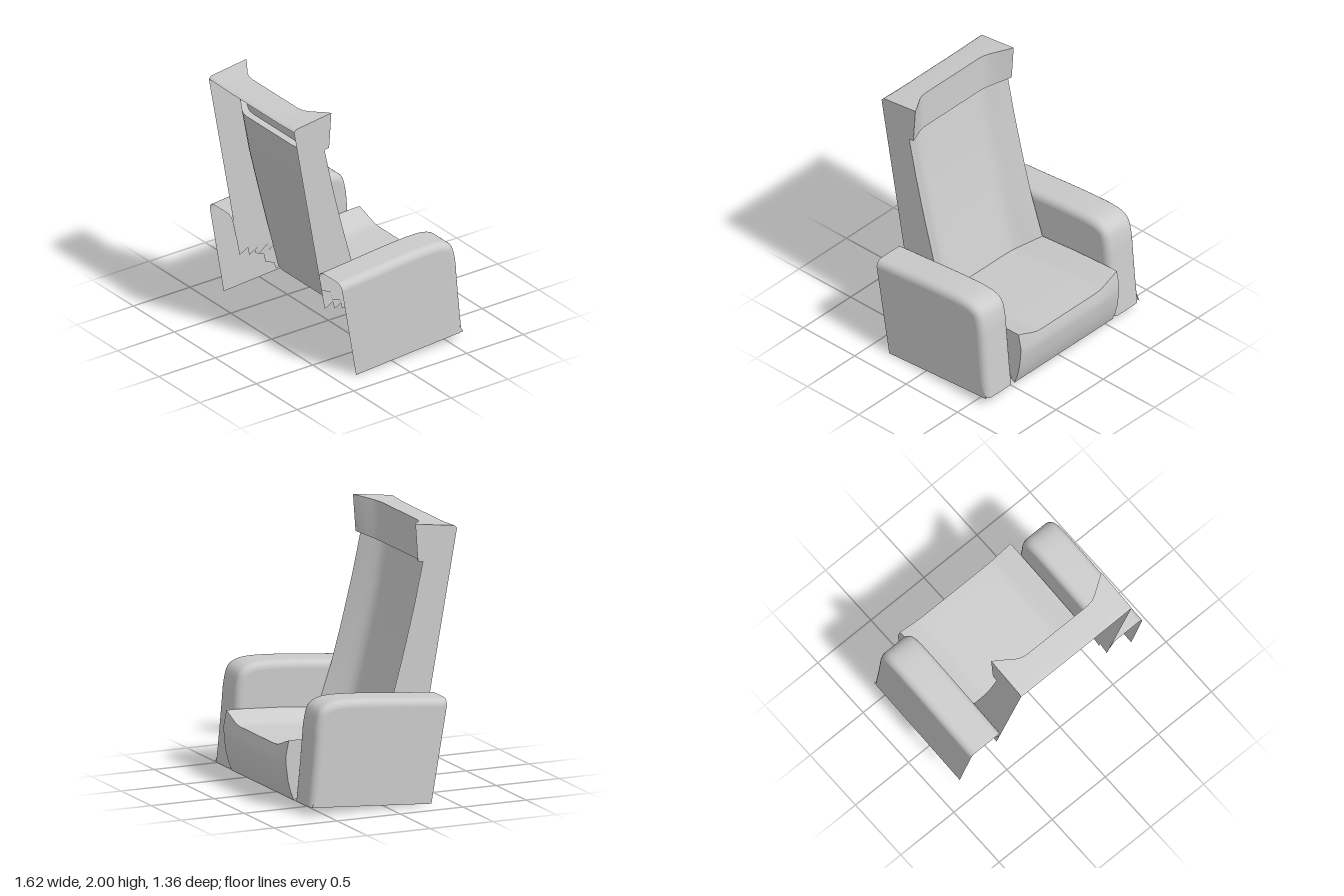
import * as THREE from 'three';

const material = new THREE.MeshStandardMaterial({ color: 0xcccccc, side: THREE.DoubleSide });

function named(name, geometry) {
  const mesh = new THREE.Mesh(geometry, material);
  mesh.name = name;
  return mesh;
}

// Smooth surface through rows of [x, y, z] points
function loft(rows) {
  const n = rows[0].length, index = [];
  for (let i = 0; i < rows.length - 1; i++) {
    for (let j = 0; j < n - 1; j++) {
      const a = i * n + j, c = a + n;
      index.push(a, a + 1, c, a + 1, c + 1, c);
    }
  }
  const g = new THREE.BufferGeometry();
  g.setAttribute('position', new THREE.Float32BufferAttribute(rows.flat(2), 3));
  g.setIndex(index);
  g.computeVertexNormals();
  return g;
}

// Flat wall at a given x from a [z, y] outline, facing +x or -x
function wall(outline, x, facing) {
  const g = new THREE.ShapeGeometry(new THREE.Shape(outline.map(([z, y]) => new THREE.Vector2(z, y))));
  const p = g.attributes.position;
  for (let i = 0; i < p.count; i++) p.setXYZ(i, x, p.getY(i), p.getX(i));
  if (facing > 0) g.index.array.reverse();
  g.computeVertexNormals();
  return g;
}

// Saw-toothed edge along a [z, y] polyline
function sawtooth(points, teeth, depth) {
  const out = [];
  for (let k = 0; k < points.length - 1; k++) {
    const [z0, y0] = points[k], [z1, y1] = points[k + 1];
    for (let i = 0; i < teeth; i++) {
      const t = i / teeth, u = (i + 0.85) / teeth;
      out.push([z0 + (z1 - z0) * t, y0 + (y1 - y0) * t]);
      out.push([z0 + (z1 - z0) * u, y0 + (y1 - y0) * u - depth]);
    }
  }
  out.push(points[points.length - 1]);
  return out;
}

// Half width of the dished cushions: [x, share of the full hollow]
const half = [[0.52, 0], [0.47, 0.24], [0.42, 0.52], [0.37, 0.79], [0.33, 0.94], [0.28, 1], [0.14, 1]];
const columns = [...half.map(([x, d]) => [-x, d]), [0, 1], ...half.slice().reverse()];

// Cushion panel; each row is [side z, side y, centre z, centre y]
function cushion(name, profile) {
  return named(name, loft(profile.map(([zs, ys, zc, yc]) =>
    columns.map(([x, d]) => [x, ys + (yc - ys) * d, zs + (zc - zs) * d]))));
}

function backrest() {
  const group = new THREE.Group();
  group.name = 'backrest';
  group.add(
    cushion('headrestTop', [[0.68, 1.94, 0.68, 1.935], [0.66, 1.96, 0.66, 1.95], [0.35, 2, 0.47, 1.975]]),
    cushion('headrestFront', [[0.35, 2, 0.47, 1.975], [0.36, 1.86, 0.465, 1.83], [0.37, 1.725, 0.46, 1.69]]),
    cushion('headrestStep', [[0.37, 1.725, 0.46, 1.69], [0.41, 1.72, 0.52, 1.69]]),
    cushion('backPanel', [
      [0.41, 1.72, 0.52, 1.69], [0.34, 1.4, 0.46, 1.36], [0.26, 1.08, 0.38, 1.03],
      [0.175, 0.77, 0.295, 0.69], [0.07, 0.46, 0.21, 0.36],
    ]),
  );
  const outline = [
    [0.68, 1.94], [0.66, 1.96], [0.35, 2], [0.37, 1.725], [0.41, 1.72], [0.34, 1.4], [0.26, 1.08], [0.175, 0.77],
    ...sawtooth([[0.07, 0.46], [0.25, 0.45], [0.42, 0.5]], 2, 0.06),
  ];
  for (const s of [-1, 1]) group.add(named('backrestSide', wall(outline, s * 0.52, s)));
  return group;
}

function seat() {
  const group = new THREE.Group();
  group.name = 'seat';
  group.add(
    cushion('seatTop', [
      [0.07, 0.46, 0.21, 0.36], [-0.25, 0.49, -0.2, 0.405], [-0.58, 0.51, -0.58, 0.435], [-0.655, 0.51, -0.66, 0.44],
    ]),
    cushion('seatFront', [
      [-0.655, 0.51, -0.66, 0.44], [-0.677, 0.4, -0.677, 0.37], [-0.675, 0.32, -0.675, 0.31],
      [-0.66, 0.21, -0.66, 0.21], [-0.64, 0.13, -0.64, 0.13], [-0.614, 0.065, -0.614, 0.065],
    ]),
  );
  const outline = [
    [0.07, 0.46], [-0.25, 0.49], [-0.58, 0.51], [-0.655, 0.51], [-0.677, 0.4], [-0.675, 0.32],
    [-0.66, 0.21], [-0.64, 0.13], ...sawtooth([[-0.614, 0.065], [-0.5, 0.25], [0.05, 0.42]], 3, 0.03),
  ];
  for (const s of [-1, 1]) group.add(named('seatSide', wall(outline, s * 0.52, s)));
  return group;
}

function armrest(s) {
  const group = new THREE.Group();
  group.name = s > 0 ? 'leftArmrest' : 'rightArmrest';
  const centre = s * 0.668, halfWidth = 0.14, r = 0.055;

  // Ridge line from the back over the top and down the front
  const curve = new THREE.CatmullRomCurve3([
    [0.467, 0.765], [0.25, 0.785], [0, 0.81], [-0.2, 0.826], [-0.37, 0.832], [-0.46, 0.82], [-0.525, 0.78],
    [-0.56, 0.67], [-0.577, 0.5], [-0.595, 0.3], [-0.618, 0.07],
  ].map(([z, y]) => new THREE.Vector3(0, y, z)), false, 'centripetal');
  const steps = 48, ridge = [];
  for (let i = 0; i <= steps; i++) {
    const p = curve.getPointAt(i / steps), t = curve.getTangentAt(i / steps);
    ridge.push({ z: p.z, y: p.y, nz: -t.y, ny: t.z }); // normal points inward
  }
  const inset = (p, d) => [p.z + p.nz * d, p.y + p.ny * d];

  // Rounded shoulders on both sides of the ridge
  const section = [];
  for (let k = 6; k >= 0; k--) {
    const a = (k / 6) * Math.PI / 2;
    section.push([-(halfWidth - r + r * Math.sin(a)), r * (1 - Math.cos(a))]);
  }
  section.push(...section.slice().reverse().map(([x, d]) => [-x, d]));
  group.add(named('armrestCover', loft(ridge.map((p) => section.map(([x, d]) => {
    const [z, y] = inset(p, d);
    return [centre + x, y, z];
  })))));

  // Full outer wall, and an inner wall that stops at a ragged edge below the seat
  const edge = ridge.map((p) => inset(p, r));
  group.add(named('armrestOuterWall', wall([...edge, [-0.608, 0.07], [0.34, 0.005]], centre + s * halfWidth, s)));
  const ragged = sawtooth([[-0.565, 0.07], [-0.45, 0.2], [0.1, 0.28], [0.45, 0.66]], 4, 0.05);
  group.add(named('armrestInnerWall', wall([...edge, ...ragged], centre - s * halfWidth, -s)));
  return group;
}

export function createModel() {
  const model = new THREE.Group();
  model.name = 'armchair';
  model.add(backrest(), seat(), armrest(1), armrest(-1));
  return model;
}
